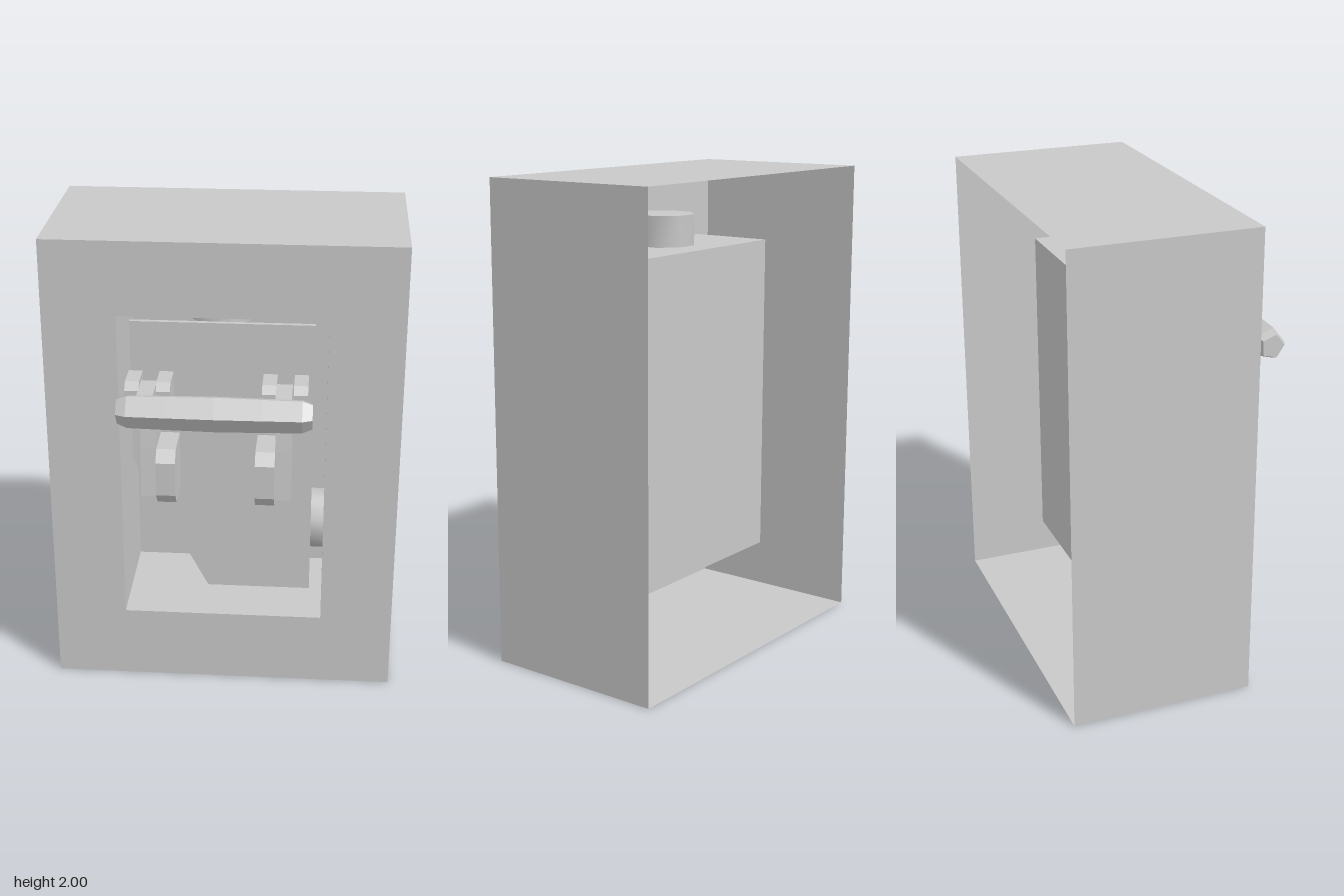
import * as THREE from 'three';
import { toCreasedNormals } from 'three/addons/utils/BufferGeometryUtils.js';

const FRONT = 0.24, BACK = -0.535, TUB_BACK = -0.28, PANEL_Z = 0.16;
const MID = -0.0225; // centre line of the lever assembly

export function createModel() {
  const model = new THREE.Group();
  model.name = 'switchBox';
  const grey = new THREE.MeshStandardMaterial({ color: 0xc8c8c8, side: THREE.DoubleSide });
  grey.name = 'light grey';

  const add = (name, geometry, parent = model) => {
    const mesh = new THREE.Mesh(geometry, grey);
    mesh.name = name;
    parent.add(mesh);
    return mesh;
  };

  // Box keeping only chosen sides (order: +x -x +y -y +z -z)
  const openBox = (x0, x1, y0, y1, z0, z1, sides) => {
    const g = new THREE.BoxGeometry(x1 - x0, y1 - y0, z1 - z0);
    const all = Array.from(g.index.array);
    g.setIndex(sides.flatMap((s) => all.slice(s * 6, s * 6 + 6)));
    g.clearGroups();
    return g.translate((x0 + x1) / 2, (y0 + y1) / 2, (z0 + z1) / 2);
  };

  const shapeOf = (pts) => new THREE.Shape(pts.map(([a, b]) => new THREE.Vector2(a, b)));

  // Profile of (z, y) points extruded across x from x0 to x1
  const slab = (pts, x0, x1) =>
    new THREE.ExtrudeGeometry(shapeOf(pts), { depth: x1 - x0, bevelEnabled: false })
      .rotateY(-Math.PI / 2).translate(x1, 0, 0);

  // Casing: thin walls, open at the back
  add('casingWalls', openBox(-0.73, 0.73, 0, 2, BACK, FRONT, [0, 1, 2, 3]));
  const face = shapeOf([[-0.73, 0], [0.73, 0], [0.73, 2], [-0.73, 2]]);
  face.holes.push(shapeOf([[-0.427, 0.32], [-0.427, 1.69], [0.424, 1.69], [0.424, 0.32]]));
  add('casingFront', new THREE.ShapeGeometry(face).translate(0, 0, FRONT));

  // Recessed tub behind the opening
  add('recess', openBox(-0.427, 0.424, 0.32, 1.69, TUB_BACK, FRONT, [0, 1, 2, 3, 5]));

  // Mounting panel with its lower corner cut away
  const panel = shapeOf([[-0.385, 1.02], [-0.07, 0.42], [0.37, 0.42], [0.37, 1.64], [-0.385, 1.64]]);
  add('mountingPanel', new THREE.ExtrudeGeometry(panel, { depth: 0.02, bevelEnabled: false })
    .translate(0, 0, PANEL_Z - 0.02));

  // Conduit stubs through the top and side of the recess
  const stub = () => toCreasedNormals(
    new THREE.CylinderGeometry(0.13, 0.13, 0.22, 8).rotateY(Math.PI / 8), 1);
  add('topConduit', stub().translate(-0.02, 1.71, -0.04));
  add('sideConduit', stub().rotateZ(Math.PI / 2).translate(0.44, 0.665, -0.04));

  // Lever: five-sided grip with tapered ends
  const lever = new THREE.Group();
  lever.name = 'lever';
  model.add(lever);
  const sections = [[-0.385, 0.053], [-0.345, 0.07], [-0.19, 0.073], [0, 0.076],
    [0.19, 0.073], [0.345, 0.07], [0.385, 0.053]];
  const verts = [], faces = [];
  for (const [x, r] of sections) {
    for (let k = 0; k < 5; k++) {
      const a = k * Math.PI * 2 / 5 + 0.04;
      verts.push(x - 0.015, 1.38 + r * Math.sin(a), 0.462 + r * Math.cos(a));
    }
  }
  for (let i = 0; i < sections.length - 1; i++) {
    for (let k = 0; k < 5; k++) {
      const a = i * 5 + k, b = i * 5 + (k + 1) % 5;
      faces.push(a, a + 5, b, b, a + 5, b + 5);
    }
  }
  const last = (sections.length - 1) * 5;
  for (let k = 1; k < 4; k++) {
    faces.push(0, k, k + 1, last, last + k + 1, last + k);
  }
  // Make every triangle face away from the grip's centre
  const centre = new THREE.Vector3(-0.015, 1.38, 0.462);
  for (let i = 0; i < faces.length; i += 3) {
    const [p, q, s] = [0, 1, 2].map((j) => new THREE.Vector3().fromArray(verts, faces[i + j] * 3));
    const n = q.clone().sub(p).cross(s.clone().sub(p));
    if (n.dot(p.clone().sub(centre)) < 0) [faces[i + 1], faces[i + 2]] = [faces[i + 2], faces[i + 1]];
  }
  const grip = new THREE.BufferGeometry();
  grip.setAttribute('position', new THREE.Float32BufferAttribute(verts, 3));
  grip.setIndex(faces);
  const flatGrip = grip.toNonIndexed();
  flatGrip.computeVertexNormals();
  add('grip', flatGrip, lever);

  // Arms, pivot ears and contact blocks, mirrored about the centre line
  const armProfile = [[PANEL_Z, 0.94], [0.34, 0.94], [0.325, 1.15], [0.307, 1.33],
    [0.42, 1.335], [0.42, 1.42], [0.31, 1.42], [0.25, 1.42], [PANEL_Z, 1.36]];
  const earProfile = [[PANEL_Z, 1.26], [0.265, 1.26], [0.305, 1.295], [0.305, 1.395],
    [0.275, 1.425], [PANEL_Z, 1.425]];
  const blockProfile = [[PANEL_Z, 0.905], [0.32, 0.905], [0.37, 0.96], [0.37, 1.105],
    [0.325, 1.15], [PANEL_Z, 1.15]];
  for (const [side, s] of [['left', 1], ['right', -1]]) {
    const part = (name, profile, inner, outer) => {
      const [a, b] = [MID + s * inner, MID + s * outer];
      add(side + name, slab(profile, Math.min(a, b), Math.max(a, b)), lever);
    };
    part('Arm', armProfile, 0.2425, 0.3075);
    part('InnerEar', earProfile, 0.185, 0.2425);
    part('OuterEar', earProfile, 0.3125, 0.37);
    part('ContactBlock', blockProfile, 0.1625, 0.2425);
  }

  return model;
}
